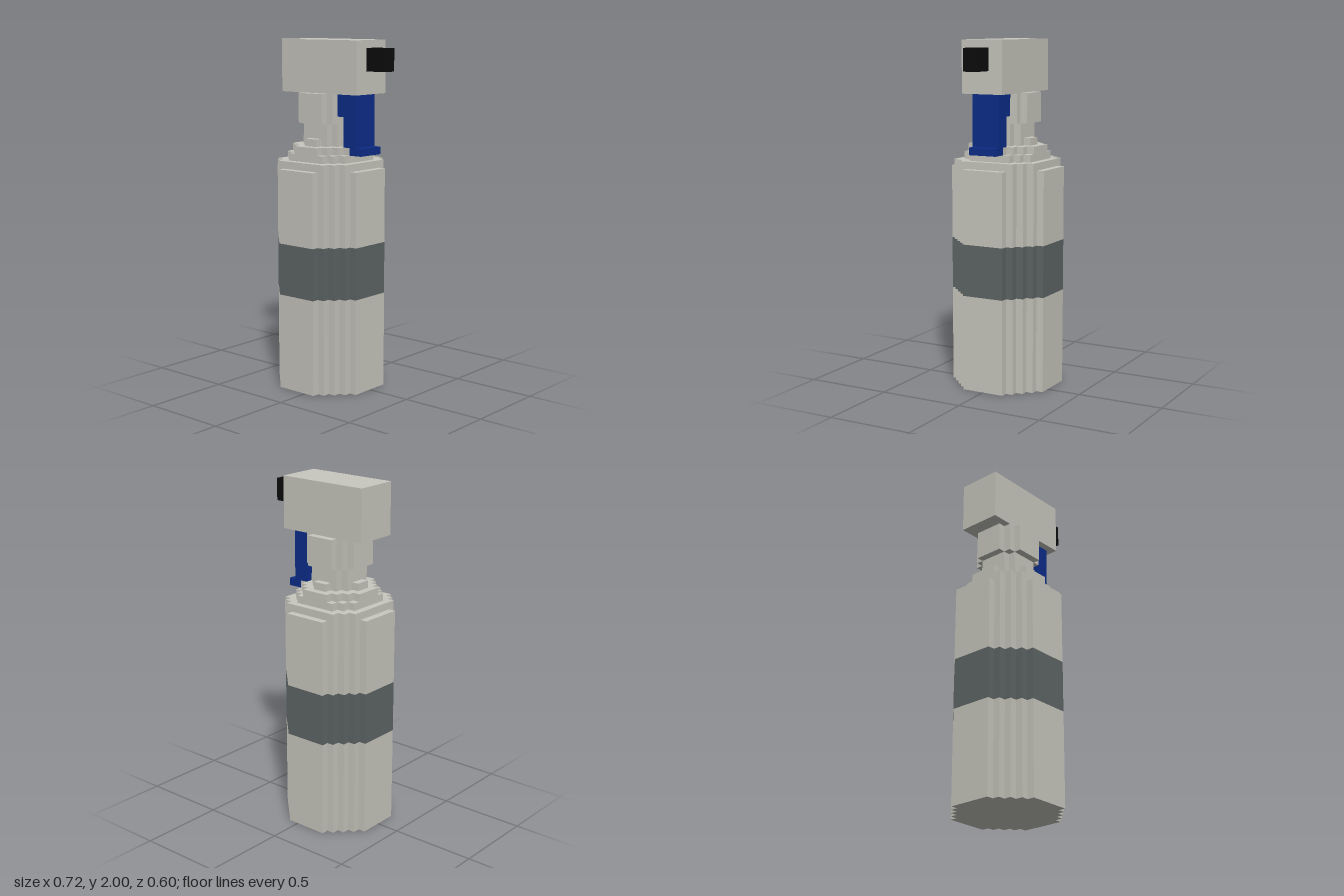
import * as THREE from 'three';

const U = 2 / 47;          // one block
const AXIS = -1.5;         // bottle axis in blocks along x

const mat = (name, color) => {
  const m = new THREE.MeshStandardMaterial({ color });
  m.name = name;
  return m;
};

// Stepped prism: rows[i] is the half width in x for i < |z| < i + 1.
function steppedPrism(name, rows, y0, y1, material, maxX = Infinity) {
  const quarter = [];
  rows.forEach((w, i) => {
    if (w !== rows[i - 1]) quarter.push([w, i]);
    if (w !== rows[i + 1]) quarter.push([w, i + 1]);
  });
  if (quarter[0][1] === 0) quarter.shift();
  const back = [...quarter].reverse();
  const outline = [
    ...quarter,
    ...back.map(([x, z]) => [-x, z]),
    ...quarter.map(([x, z]) => [-x, -z]),
    ...back.map(([x, z]) => [x, -z]),
  ].map(([x, z]) => [Math.min(x, maxX), z])
    .filter(([x, z], i, a) => {
      const p = a[(i + a.length - 1) % a.length];
      return x !== p[0] || z !== p[1];
    });
  const shape = new THREE.Shape(
    outline.map(([x, z]) => new THREE.Vector2((x + AXIS) * U, z * U)));
  const g = new THREE.ExtrudeGeometry(shape, { depth: (y1 - y0) * U, bevelEnabled: false });
  g.rotateX(-Math.PI / 2).translate(0, y0 * U, 0);
  const mesh = new THREE.Mesh(g, material);
  mesh.name = name;
  return mesh;
}

// Box given by its limits in blocks, centred on z = 0.
function block(name, x0, x1, y0, y1, halfZ, material) {
  const g = new THREE.BoxGeometry((x1 - x0) * U, (y1 - y0) * U, 2 * halfZ * U);
  g.translate((x0 + x1) / 2 * U, (y0 + y1) / 2 * U, 0);
  const mesh = new THREE.Mesh(g, material);
  mesh.name = name;
  return mesh;
}

export function createModel() {
  const shell = mat('pale grey shell', 0xc9c8bf);
  const bandGrey = mat('slate band', 0x5f6666);
  const blue = mat('blue trigger', 0x0c2d8a);
  const black = mat('black nozzle', 0x0c0c0c);

  const group = new THREE.Group();
  group.name = 'sprayBottle';

  // Bottle body with its band
  const body = [7, 7, 7, 6, 5, 4, 3];
  group.add(
    steppedPrism('lowerBody', body, 0, 13, shell),
    steppedPrism('band', body, 13, 20, bandGrey),
    steppedPrism('upperBody', body, 20, 30, shell));

  // Shoulder steps, neck and collar
  group.add(
    steppedPrism('shoulderLower', [6, 6, 6, 6, 5, 4], 30, 31, shell),
    steppedPrism('shoulderMiddle', [5, 5, 5, 4, 3], 31, 32, shell),
    steppedPrism('shoulderUpper', [5, 5, 4, 3, 2], 32, 33, shell),
    steppedPrism('neckRing', [4, 3, 2, 1], 33, 34, shell),
    steppedPrism('neck', [3, 3, 2], 33, 36, shell),
    steppedPrism('collar', [4, 4, 3, 2], 36, 40, shell, 3));

  // Spray head and nozzle
  group.add(
    block('head', -7.5, 5.5, 40, 47, 3, shell),
    block('nozzle', 5.5, 8.5, 43, 46, 1, black));

  // Trigger
  const trigger = new THREE.Group();
  trigger.name = 'trigger';
  trigger.add(
    block('triggerRoot', 1.5, 4.5, 37, 40, 2, blue),
    block('triggerLever', 2.5, 4.5, 33, 37, 2, blue),
    block('triggerTip', 3.5, 5.5, 32, 33, 2, blue));
  group.add(trigger);

  return group;
}
